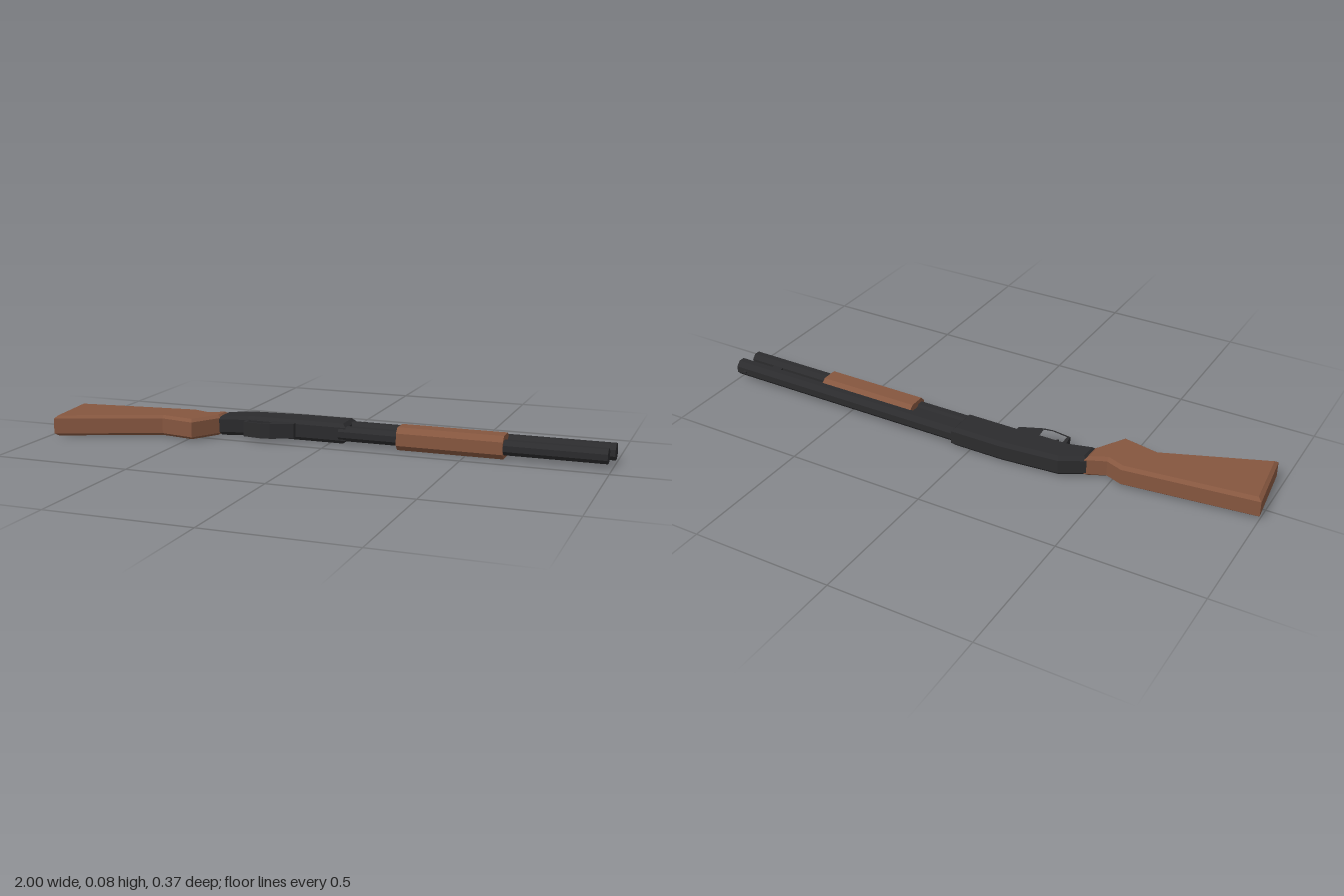
import * as THREE from 'three';

const MID = 0.041; // height of the centre plane of the model lying on its side

export function createModel() {
  const model = new THREE.Group();
  const wood = new THREE.MeshStandardMaterial({ color: 0x85563f, flatShading: true });
  wood.name = 'brown wood';
  const metal = new THREE.MeshStandardMaterial({ color: 0x2b2b2d, flatShading: true });
  metal.name = 'dark metal';

  const add = (name, geometry, material) => {
    const mesh = new THREE.Mesh(geometry, material);
    mesh.name = name;
    model.add(mesh);
    return mesh;
  };
  const points = list => list.map(([a, b]) => new THREE.Vector2(a, b));

  // Flat plan outline (x, z) thickened along y, with optional chamfers and hole
  const slab = (outline, thickness, chamfer = 0, side = 0, hole = null) => {
    const shape = new THREE.Shape(points(outline));
    if (hole) shape.holes.push(new THREE.Path(points(hole)));
    const depth = thickness - 2 * chamfer;
    const g = new THREE.ExtrudeGeometry(shape, {
      depth, bevelEnabled: chamfer > 0, bevelSegments: 1,
      bevelThickness: chamfer, bevelSize: side, bevelOffset: -side,
    });
    return g.translate(0, 0, -depth / 2).rotateX(Math.PI / 2).translate(0, MID, 0);
  };

  // Eight-sided bar along x with flat sides at the given half width
  const octagonBar = (x0, x1, z, half) => {
    const r = half / Math.cos(Math.PI / 8);
    return new THREE.CylinderGeometry(r, r, x1 - x0, 8)
      .rotateY(Math.PI / 8).rotateZ(-Math.PI / 2)
      .translate((x0 + x1) / 2, MID, z);
  };
  const box = (x0, x1, z0, z1, height) =>
    new THREE.BoxGeometry(x1 - x0, height, z1 - z0).translate((x0 + x1) / 2, MID, (z0 + z1) / 2);

  // Shoulder stock and grip
  add('stock', slab([
    [-1, -0.06], [-0.54, -0.115], [-0.48, -0.093], [-0.41, -0.123],
    [-0.41, -0.045], [-0.475, 0.063], [-0.605, 0.038], [-0.972, 0.183],
  ], 0.075, 0.01, 0.013), wood);

  // Receiver
  add('receiver', slab([
    [-0.418, -0.12], [-0.335, -0.166], [-0.13, -0.185], [0.066, -0.185],
    [0.066, -0.065], [-0.31, -0.065], [-0.418, -0.038],
  ], 0.073, 0.013, 0.013), metal);

  // Trigger guard and trigger
  add('triggerGuard', slab([
    [-0.315, -0.075], [-0.308, -0.02], [-0.24, -0.011],
    [-0.205, -0.016], [-0.125, -0.05], [-0.125, -0.075],
  ], 0.054, 0, 0, [
    [-0.3, -0.062], [-0.298, -0.026], [-0.24, -0.018], [-0.208, -0.024], [-0.212, -0.062],
  ]), metal);
  add('trigger', slab([
    [-0.268, -0.07], [-0.25, -0.07], [-0.252, -0.045], [-0.265, -0.026], [-0.27, -0.028], [-0.264, -0.046],
  ], 0.015), metal);

  // Barrel, magazine tube and the pieces joining them
  add('barrel', octagonBar(0.04, 1, -0.154, 0.028), metal);
  add('magazineTube', octagonBar(0.04, 0.985, -0.082, 0.0255), metal);
  add('actionBar', box(0.05, 0.3, -0.14, -0.09, 0.034), metal);
  add('barrelClamp', box(0.845, 0.885, -0.14, -0.09, 0.022), metal);
  add('frontSight', box(0.955, 0.968, -0.19, -0.178, 0.006), metal);

  // Sliding fore-end with chamfered edges, cross-section in (z, y) swept along x
  const section = new THREE.Shape(points([
    [0.055, -0.022], [0.055, 0.022], [0.073, 0.041], [0.13, 0.041],
    [0.147, 0.026], [0.147, -0.026], [0.13, -0.041], [0.073, -0.041],
  ]));
  const foreEnd = new THREE.ExtrudeGeometry(section, { depth: 0.378, bevelEnabled: false });
  add('foreEnd', foreEnd.rotateY(Math.PI / 2).translate(0.256, MID, 0), wood);

  return model;
}
